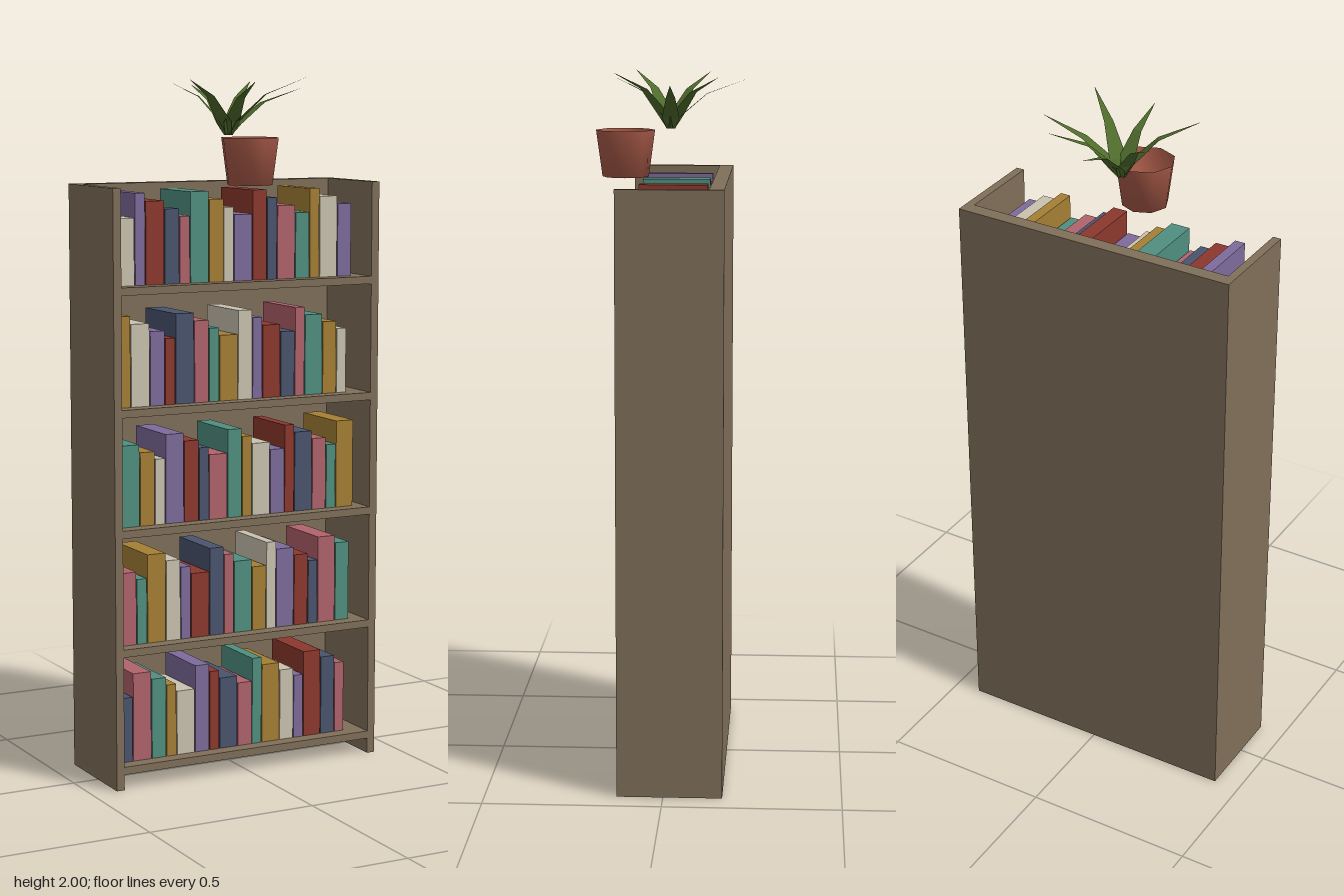
import * as THREE from 'three';

const mat = (name, color, side = THREE.FrontSide) => {
  const m = new THREE.MeshStandardMaterial({ color, side });
  m.name = name;
  return m;
};

export function createModel() {
  const model = new THREE.Group();
  model.name = 'bookcaseWithPlant';

  const wood = mat('wood', 0x806f5a);
  const terracotta = mat('terracotta', 0xa85a48, THREE.DoubleSide);
  const leafGreen = mat('leafGreen', 0x4f6b2c, THREE.DoubleSide);
  const covers = [
    mat('cream', 0xcac2af), mat('purple', 0x7d6b9b), mat('red', 0x8c382d), mat('navy', 0x4a546e),
    mat('pink', 0xb0626c), mat('teal', 0x4f8f80), mat('gold', 0xa57f34),
  ];

  // Box given by its minimum and maximum corners
  const box = (name, material, [x0, y0, z0], [x1, y1, z1], parent) => {
    const mesh = new THREE.Mesh(new THREE.BoxGeometry(x1 - x0, y1 - y0, z1 - z0), material);
    mesh.position.set((x0 + x1) / 2, (y0 + y1) / 2, (z0 + z1) / 2);
    mesh.name = name;
    parent.add(mesh);
  };

  // Bookcase: sides, back and five shelves, open at the top
  const bookcase = new THREE.Group();
  bookcase.name = 'bookcase';
  model.add(bookcase);
  const back = -0.166, front = 0.13, innerBack = -0.125;
  box('leftSide', wood, [0.4, 0, back], [0.424, 1.7, front], bookcase);
  box('rightSide', wood, [-0.424, 0, back], [-0.4, 1.7, front], bookcase);
  box('backPanel', wood, [-0.4, 0, back], [0.4, 1.7, innerBack], bookcase);

  // Books repeat their colours, widths and heights, shifted by one on each row
  const widths = [0.044, 0.03, 0.056];
  const heights = [0.188, 0.256, 0.233, 0.21];
  for (let row = 0; row < 5; row++) {
    const shelfTop = 1.427 - row * 0.34;
    box('shelf', wood, [-0.4, shelfTop - 0.022, innerBack], [0.4, shelfTop, front], bookcase);
    const books = new THREE.Group();
    books.name = 'bookRow';
    model.add(books);
    let x = -0.384;
    for (let i = 0; i < 16; i++) {
      const w = widths[(i + row) % 3];
      const h = heights[(i + row) % 4];
      box('book', covers[(i + 7 - row) % 7], [x, shelfTop, -0.108], [x + w, shelfTop + h, 0.087], books);
      x += w + 0.003;
    }
  }

  // Eight-sided open pot, overhanging the front edge
  const potProfile = [[0, 0], [0.066, 0], [0.084, 0.132]].map(([r, y]) => new THREE.Vector2(r, y));
  const pot = new THREE.Mesh(new THREE.LatheGeometry(potProfile, 8), terracotta);
  pot.position.set(0, 1.7, 0.129);
  pot.name = 'pot';
  model.add(pot);

  // Arching leaf: cross-sections from base to pointed tip
  const sections = [[0.02, 0, 0.012], [0.12, 0.24, 0.025], [0.47, 0.7, 0.013], [1, 1, 0.0005]]; // reach, rise, half width
  const makeLeaf = (tipX, tipY, tipZ) => {
    const length = Math.hypot(tipX, tipZ);
    const points = [], index = [];
    sections.forEach(([reach, rise, half], i) => {
      for (const s of [-1, 1]) {
        points.push(tipX * reach - s * half * tipZ / length, tipY * rise, tipZ * reach + s * half * tipX / length);
      }
      if (i) {
        const a = 2 * i - 2;
        index.push(a, a + 1, a + 2, a + 1, a + 3, a + 2);
      }
    });
    const indexed = new THREE.BufferGeometry();
    indexed.setAttribute('position', new THREE.Float32BufferAttribute(points, 3));
    indexed.setIndex(index);
    const geometry = indexed.toNonIndexed();
    geometry.computeVertexNormals();
    const leaf = new THREE.Mesh(geometry, leafGreen);
    leaf.name = 'leaf';
    return leaf;
  };

  const plant = new THREE.Group();
  plant.name = 'plant';
  plant.position.y = 1.836;
  model.add(plant);
  const tips = [
    [-0.01, 0.14, -0.217], [0.145, 0.15, -0.14], [0.24, 0.13, -0.01], [0.175, 0.164, 0.151],
    [-0.005, 0.15, 0.17], [-0.18, 0.158, 0.11], [-0.148, 0.155, -0.108],
  ];
  for (const tip of tips) plant.add(makeLeaf(...tip));

  return model;
}
